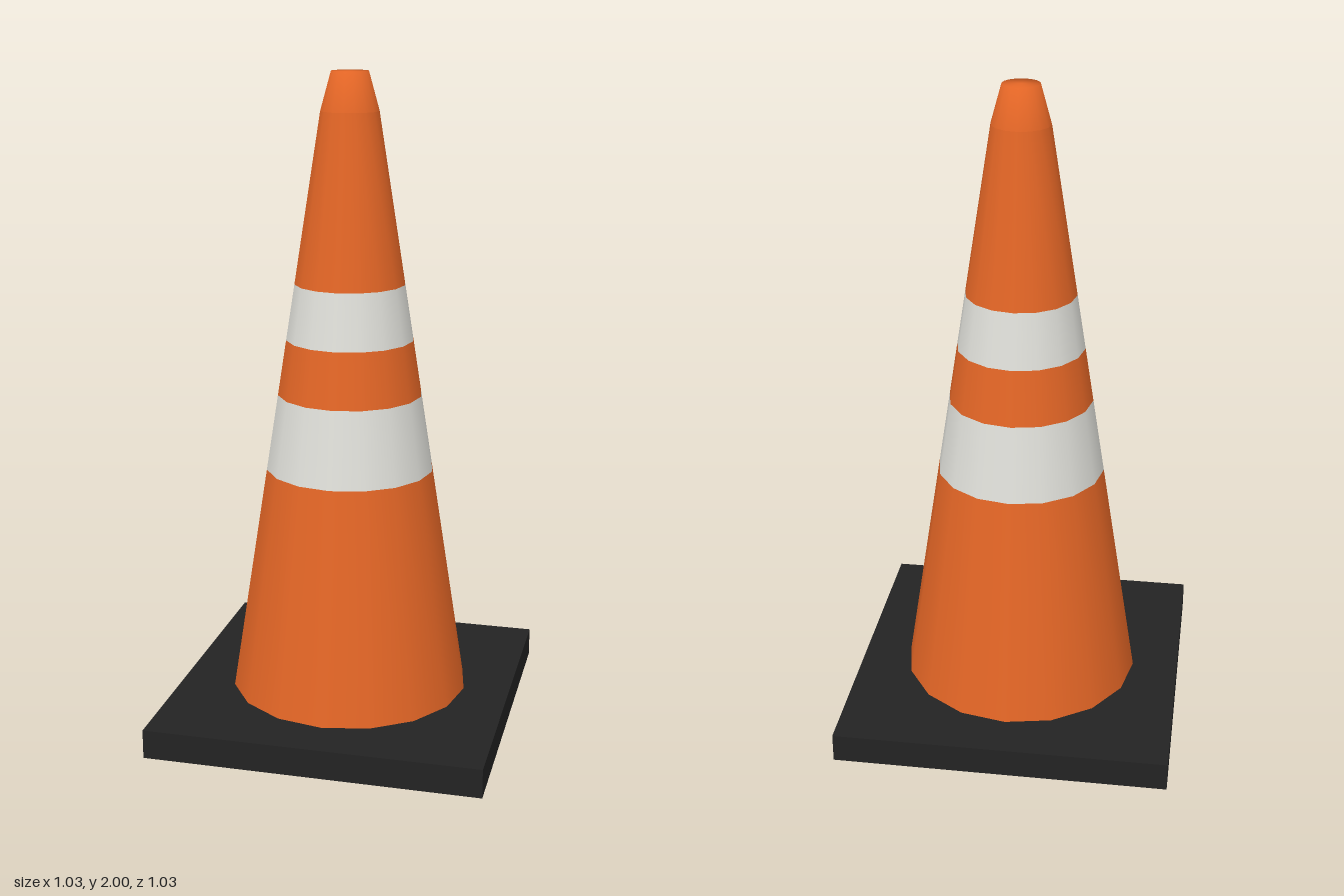
import * as THREE from 'three';

const SIDES = 16;

export function createModel() {
  const group = new THREE.Group();
  const orange = new THREE.MeshStandardMaterial({ name: 'orange', color: 0xe46626 });
  const white = new THREE.MeshStandardMaterial({ name: 'offWhite', color: 0xe0e0da });
  const black = new THREE.MeshStandardMaterial({ name: 'blackRubber', color: 0x232323 });

  const add = (name, geometry, material) => {
    const mesh = new THREE.Mesh(geometry, material);
    mesh.name = name;
    group.add(mesh);
    return mesh;
  };
  // Turned part from [radius, height] points, listed upwards
  const turned = (name, points, material) =>
    add(name, new THREE.LatheGeometry(points.map(([r, y]) => new THREE.Vector2(r, y)), SIDES), material);

  // Square foot
  add('base', new THREE.BoxGeometry(1.026, 0.09, 1.026), black).position.y = 0.045;

  // Straight taper, split into coloured bands
  const bottom = 0.09, shoulder = 1.885;
  const radiusAt = (y) => THREE.MathUtils.mapLinear(y, bottom, shoulder, 0.37, 0.088);
  const bands = [
    ['lowerCone', bottom, 0.8, orange],
    ['lowerStripe', 0.8, 1.035, white],
    ['middleCone', 1.035, 1.205, orange],
    ['upperStripe', 1.205, 1.375, white],
    ['upperCone', 1.375, shoulder, orange],
  ];
  for (const [name, y0, y1, material] of bands) {
    turned(name, [[radiusAt(y0), y0], [radiusAt(y1), y1]], material);
  }

  // Closed tip, shaded smoothly over its rim
  turned('tip', [[0.088, shoulder], [0.056, 2], [0, 2]], orange);

  return group;
}
